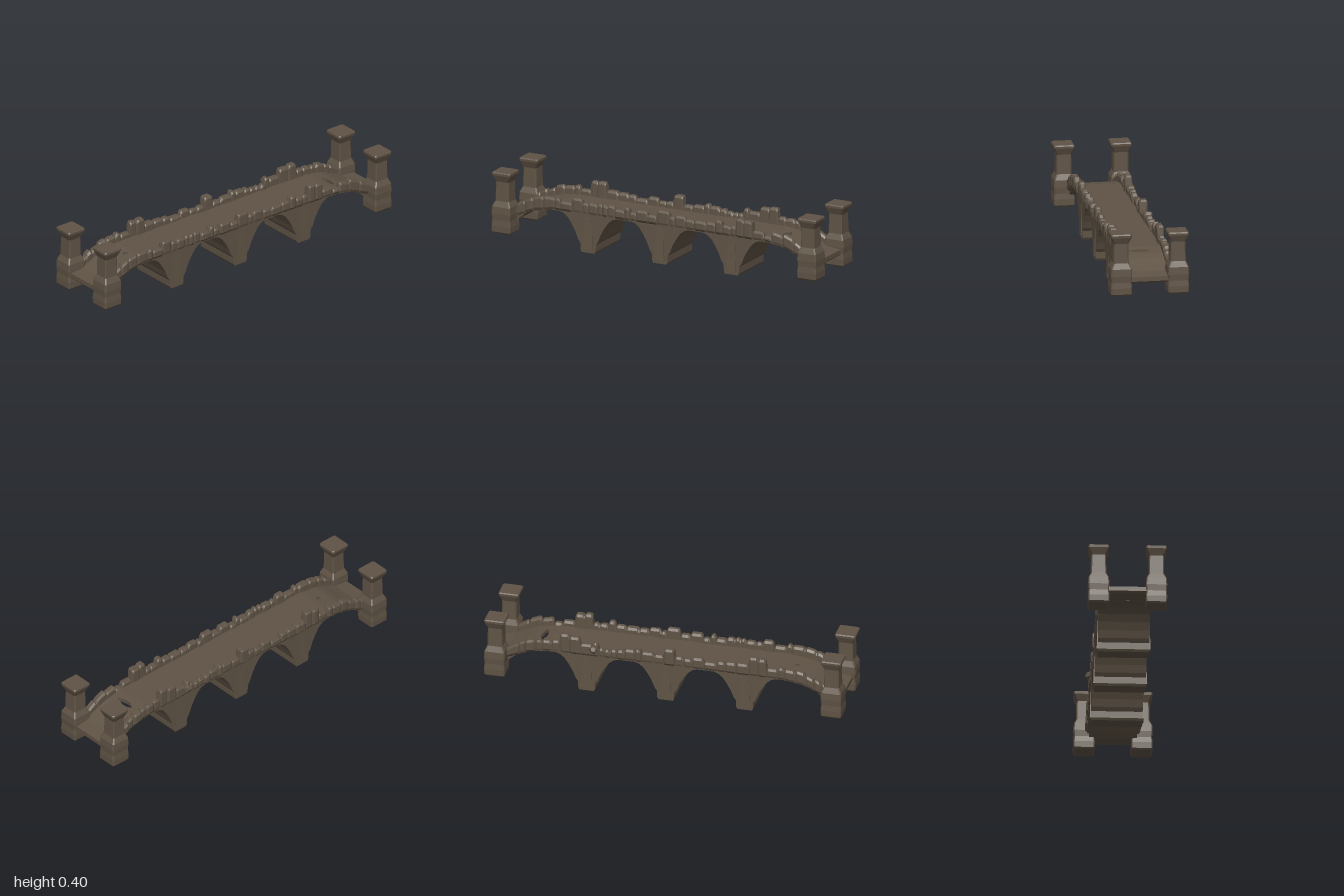
import * as THREE from 'three';

const stone = new THREE.MeshStandardMaterial({ color: 0x5f5345, flatShading: true });
stone.name = 'weathered stone';

// small seeded noise source
let seed = 7;
const rand = (a, b) => {
  seed = (seed * 16807) % 2147483647;
  return a + (b - a) * (seed / 2147483647);
};

// piecewise-linear curve over |z|
const curve = (pts) => (z) => {
  const a = Math.abs(z);
  for (let i = 1; i < pts.length; i++) {
    if (a <= pts[i][0]) {
      const [p, q] = [pts[i - 1], pts[i]];
      return p[1] + (q[1] - p[1]) * (a - p[0]) / (q[0] - p[0]);
    }
  }
  return pts[pts.length - 1][1];
};
const DECK = [[0, 0.24], [0.66, 0.238], [0.76, 0.222], [0.8, 0.208], [0.85, 0.185], [0.9, 0.165], [0.985, 0.155]];
const deckY = curve(DECK);
const underY = curve([[0, 0.213], [0.66, 0.213], [0.76, 0.203]]);
const wallY = curve([[0, 0.278], [0.7, 0.278], [0.78, 0.26], [0.84, 0.233], [0.9, 0.195]]);
const WIDTH = 0.28;

// closed skin through rings that run counter-clockwise seen from the far end
function loft(rings) {
  const n = rings[0].length, index = [];
  for (let r = 0; r < rings.length - 1; r++) {
    for (let i = 0; i < n; i++) {
      const a = r * n + i, b = r * n + (i + 1) % n;
      index.push(a, b, b + n, a, b + n, a + n);
    }
  }
  const last = (rings.length - 1) * n;
  for (let i = 1; i < n - 1; i++) index.push(0, i + 1, i, last, last + i, last + i + 1);
  const geo = new THREE.BufferGeometry();
  geo.setAttribute('position', new THREE.Float32BufferAttribute(rings.flat(2), 3));
  geo.setIndex(index);
  const flat = geo.toNonIndexed();
  flat.computeVertexNormals();
  return flat;
}

// side profile of (z, y) points swept across the bridge
function sweep(points, width) {
  const shape = new THREE.Shape(points.map(([z, y]) => new THREE.Vector2(z, y)));
  const geo = new THREE.ExtrudeGeometry(shape, { depth: width, bevelEnabled: false });
  return geo.rotateY(-Math.PI / 2).translate(width / 2, 0, 0);
}

// three piers joined by arches, with the flat deck above
function archBody() {
  const half = [[0.04, 0], [0.047, 0.012], [0.048, 0.05], [0.062, 0.07], [0.078, 0.11], [0.1, 0.15], [0.125, 0.185], [0.15, 0.205], [0.175, 0.213]];
  const pts = [[-0.66, 0.213]];
  for (const c of [-0.442, 0, 0.442]) {
    for (const [d, y] of [...half].reverse()) pts.push([c - d, y]);
    for (const [d, y] of half) pts.push([c + d, y]);
  }
  pts.push([0.66, 0.213], [0.66, 0.238], [0, 0.24], [-0.66, 0.238]);
  return sweep(pts, WIDTH);
}

// sloping ramp between a pair of pillars
function ramp(side) {
  const pts = [[0.76, 0.203], [0.8, 0.188], [0.83, 0.17], [0.86, 0.143], [0.89, 0.12], [0.975, 0.12], [0.985, 0.13],
    ...DECK.slice(2).reverse()].map(([z, y]) => [z * side, y]);
  return sweep(pts, WIDTH - 0.02);
}

// thin deck panel with a broken-through hole
function panel(side, hx, hz, rx, rz) {
  const lo = side > 0 ? -0.76 : 0.66, w = WIDTH / 2;
  const shape = new THREE.Shape([[-w, lo], [w, lo], [w, lo + 0.1], [-w, lo + 0.1]].map((p) => new THREE.Vector2(...p)));
  const rim = [];
  for (let i = 0; i < 12; i++) {
    const a = -i * Math.PI / 6, k = rand(0.75, 1.1);
    rim.push(new THREE.Vector2(hx + Math.cos(a) * rx * k, -hz + Math.sin(a) * rz * k));
  }
  shape.holes.push(new THREE.Path(rim));
  const geo = new THREE.ExtrudeGeometry(shape, { depth: 1, bevelEnabled: false }).rotateX(-Math.PI / 2);
  const p = geo.attributes.position;
  for (let i = 0; i < p.count; i++) p.setY(i, p.getY(i) > 0.5 ? deckY(p.getZ(i)) : underY(p.getZ(i)));
  geo.computeVertexNormals();
  return geo;
}

// crumbling side wall made of uneven blocks; bumps are [z, half length, extra height]
function parapet(side, bumps) {
  const rings = [];
  let z = -0.9;
  while (z < 0.89) {
    const end = Math.min(0.9, z + rand(0.03, 0.075));
    const mid = (z + end) / 2;
    let rise = rand(-0.012, 0.01);
    for (const [c, r, h] of bumps) if (Math.abs(mid - c) < r) rise = h * rand(0.75, 1);
    const out = rand(0.143, 0.153), inn = rand(0.104, 0.112);
    for (const [t, cut] of [[z + 0.003, 0.008], [z + 0.011, 0], [end - 0.011, 0], [end - 0.003, 0.008]]) {
      const base = deckY(t), top = wallY(t) + rise - cut;
      const ring = [[inn, base - 0.025], [0.138, base - 0.025], [out - cut * 0.5, base - 0.008],
        [out - cut * 0.5, top - 0.012], [out - 0.008, top], [inn + 0.01, top], [inn + cut * 0.3, top - 0.012]]
        .map(([x, y]) => [x * side, y, t]);
      rings.push(side > 0 ? ring : ring.reverse());
    }
    z = end;
  }
  return loft(rings);
}

// square pillar with worn corners, swollen base and flared cap
function pillar() {
  const profile = [[0.055, 0.05], [0.064, 0.057], [0.098, 0.058], [0.13, 0.055], [0.165, 0.058], [0.205, 0.056],
    [0.236, 0.042], [0.345, 0.04], [0.382, 0.056], [0.394, 0.057], [0.4, 0.053]];
  return loft(profile.map(([y, h]) => {
    const c = h - 0.006;
    return [[h, -c], [c, -h], [-c, -h], [-h, -c], [-h, c], [-c, h], [c, h], [h, c]].map(([x, z]) => [x, y, z]);
  }));
}

export function createModel() {
  seed = 7;
  const bridge = new THREE.Group();
  bridge.name = 'stoneBridge';
  const add = (name, geo) => {
    const mesh = new THREE.Mesh(geo, stone);
    mesh.name = name;
    bridge.add(mesh);
    return mesh;
  };

  add('archesAndPiers', archBody());
  add('frontBrokenDeck', panel(1, 0.012, 0.7, 0.014, 0.015));
  add('backBrokenDeck', panel(-1, 0.01, -0.712, 0.062, 0.018));
  add('frontRamp', ramp(1));
  add('backRamp', ramp(-1));
  add('leftParapet', parapet(1, [[0.5, 0.04, 0.022], [0.2, 0.03, 0.015], [0, 0.03, 0.025], [-0.37, 0.03, 0.022], [-0.52, 0.04, 0.05], [-0.68, 0.04, -0.03]]));
  add('rightParapet', parapet(-1, [[0.53, 0.045, 0.05], [0.25, 0.04, -0.015], [0, 0.035, 0.045], [-0.16, 0.03, 0.015], [-0.4, 0.035, 0.025], [-0.53, 0.04, 0.055]]));

  // loose stone jutting from the right wall
  add('juttingStone', new THREE.DodecahedronGeometry(0.024)).position.set(-0.15, 0.262, -0.4);

  // low tapered ribs on the pier sides
  for (const side of [1, -1]) {
    for (const z of [-0.442, 0, 0.442]) {
      const rib = add('pierRib', new THREE.CylinderGeometry(0.035, 0.045, 0.19, 4, 1));
      rib.geometry.rotateY(Math.PI / 4).scale(1, 1, 0.9);
      rib.position.set(side * 0.115, 0.115, z);
    }
  }

  // corner pillars
  const post = pillar();
  for (const x of [-0.157, 0.157]) {
    for (const z of [-0.942, 0.942]) add('cornerPillar', post).position.set(x, 0, z);
  }
  return bridge;
}
